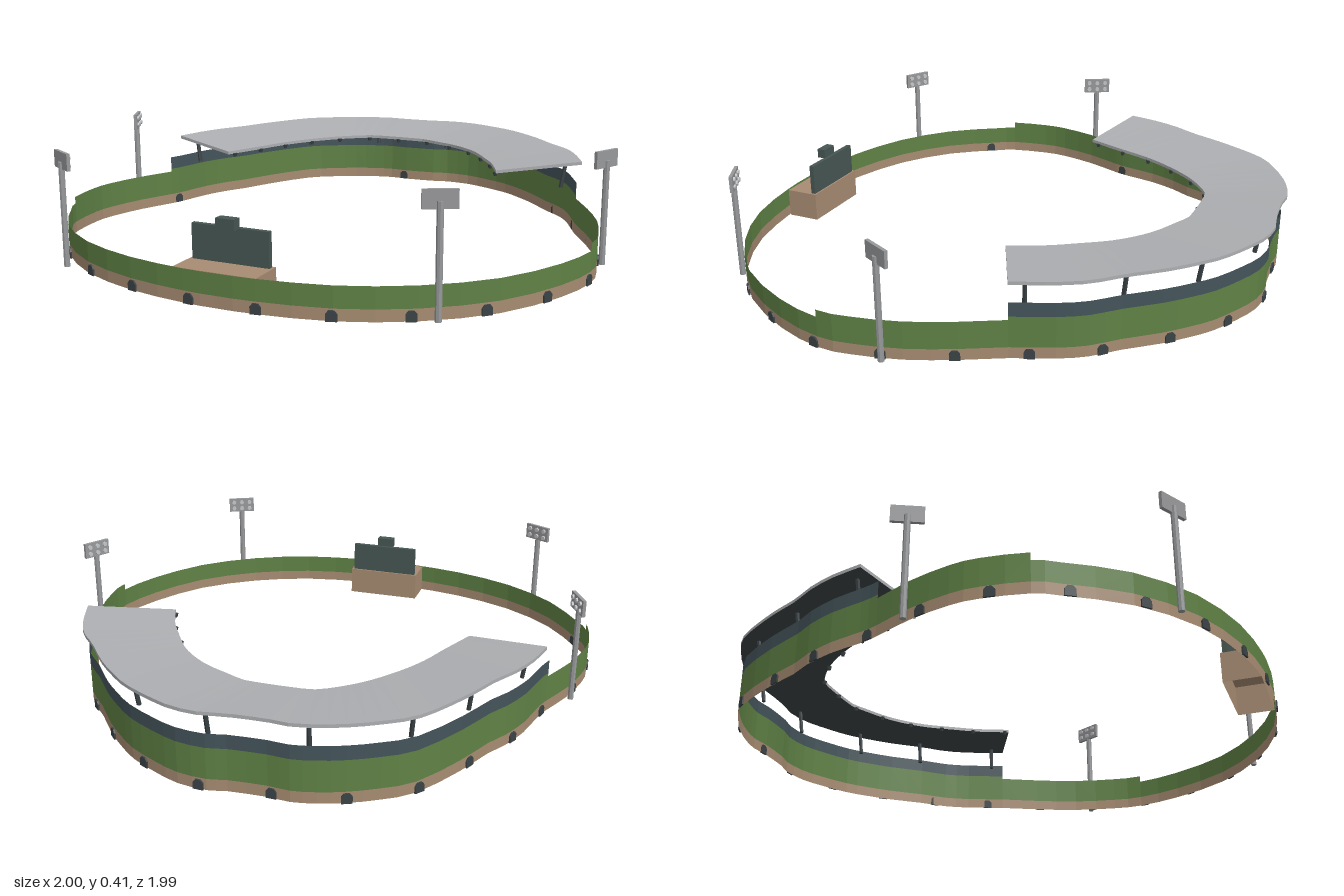
import * as THREE from 'three';

const mat = (name, color, double) => {
  const m = new THREE.MeshStandardMaterial({ color, flatShading: true });
  m.name = name;
  if (double) m.side = THREE.DoubleSide;
  return m;
};

// Wall plan as x, z pairs: front, left side, back, right side
const PLAN = [
  [-.02, .99], [.12, .985], [.36, .945], [.59, .84], [.79, .67], [.92, .45], [.975, .27],
  [.97, .15], [.93, -.02], [.86, -.18], [.785, -.32], [.725, -.46], [.67, -.55], [.59, -.63],
  [.5, -.735], [.42, -.81], [.345, -.87], [.24, -.925], [.14, -.965], [.035, -.975], [-.03, -.96],
  [-.16, -.952], [-.235, -.957], [-.315, -.94], [-.4, -.908], [-.495, -.855], [-.59, -.78],
  [-.69, -.61], [-.755, -.465], [-.8, -.39], [-.845, -.28], [-.873, -.16], [-.895, -.09],
  [-.955, .05], [-.995, .2], [-1, .3], [-.975, .45], [-.93, .53], [-.8, .71], [-.6, .86],
  [-.36, .95], [-.14, .985]
];
// Inner edge of the roof, from the left end to the right end
const INNER = [
  [.507, -.184], [.454, -.3], [.39, -.4], [.31, -.51], [.2, -.6], [.07, -.66], [.02, -.68],
  [-.155, -.68], [-.235, -.665], [-.347, -.575], [-.438, -.456], [-.5, -.344], [-.545, -.227], [-.605, -.08]
];
const N = PLAN.length;
const LOW_END = 6, STAND_START = 10, STAND_END = 32, LOW_START = 36;

const toCurve = (pts, closed) =>
  new THREE.CatmullRomCurve3(pts.map(([x, z]) => new THREE.Vector3(x, 0, z)), closed, 'catmullrom', 0.5);

// Ribbon of flat quads between two rows of points
function ribbon(a, b) {
  const pos = [];
  for (let i = 0; i < a.length - 1; i++)
    for (const p of [a[i], a[i + 1], b[i + 1], a[i], b[i + 1], b[i]]) pos.push(p.x, p.y, p.z);
  const g = new THREE.BufferGeometry();
  g.setAttribute('position', new THREE.Float32BufferAttribute(pos, 3));
  g.computeVertexNormals();
  return g;
}
const atY = (row, y) => row.map(p => new THREE.Vector3(p.x, y, p.z));

export function createModel() {
  const root = new THREE.Group();
  root.name = 'stadium';
  const green = mat('wall green', 0x5f8145, true);
  const brown = mat('earth brown', 0xa78c72, true);
  const slate = mat('slate', 0x44545a, true);
  const board = mat('board dark green', 0x465652);
  const roofGrey = mat('roof grey', 0xadafb2, true);
  const under = mat('roof underside', 0x3c4446, true);
  const steel = mat('steel grey', 0x98999b);
  const lampGrey = mat('lamp grey', 0xc4c6c8);
  const dark = mat('dark metal', 0x3b4346, true);

  const add = (parent, name, geo, material, x = 0, y = 0, z = 0) => {
    const m = new THREE.Mesh(geo, material);
    m.name = name;
    m.position.set(x, y, z);
    parent.add(m);
    return m;
  };
  const group = name => {
    const g = new THREE.Group();
    g.name = name;
    root.add(g);
    return g;
  };

  // Perimeter wall, stepped in height
  const plan = toCurve(PLAN, true);
  const section = (i0, i1) => {
    const row = [];
    for (let i = i0 * 2; i <= i1 * 2; i++) row.push(plan.getPoint(((i / 2 / N) + 1) % 1));
    return row;
  };
  const wall = group('perimeterWall');
  const band = (name, i0, i1, y0, y1, material) => {
    const row = section(i0, i1);
    add(wall, name, ribbon(atY(row, y0), atY(row, y1)), material);
  };
  band('wallBase', 0, N, 0, .04, brown);
  band('outfieldWall', LOW_START - N, LOW_END, .04, .112, green);
  band('leftWall', LOW_END, STAND_START, .04, .138, green);
  band('rightWall', STAND_END, LOW_START, .04, .138, green);
  band('standWall', STAND_START, STAND_END, .04, .15, green);
  band('upperBand', STAND_START, STAND_END, .15, .2, slate);

  // Small gates around the outside of the base
  const gates = group('gates');
  const gateShape = new THREE.Shape();
  gateShape.moveTo(-.018, 0);
  for (const [x, y] of [[.018, 0], [.018, .024], [.009, .035], [-.009, .035], [-.018, .024]]) gateShape.lineTo(x, y);
  const gateGeo = new THREE.ExtrudeGeometry(gateShape, { depth: .006, bevelEnabled: false });
  const GATES = 26, length = plan.getLength();
  for (let i = 0; i < GATES; i++) {
    const u = (.14 / length + i / GATES) % 1;
    const p = plan.getPointAt(u), t = plan.getTangentAt(u);
    const gate = add(gates, 'gate', gateGeo, dark, p.x, 0, p.z);
    gate.rotation.y = Math.atan2(-t.z, t.x);
  }

  // Curved roof over the stand
  const roof = group('roof');
  const STEPS = 42;
  const outerPts = PLAN.slice(STAND_START, STAND_END).map(([x, z]) => {
    const k = 1 + .017 / Math.hypot(x, z);
    return [x * k, z * k];
  });
  const outer = toCurve(outerPts).getSpacedPoints(STEPS);
  const innerCurve = toCurve(INNER);
  const inner = innerCurve.getSpacedPoints(STEPS);
  const outTop = atY(outer, .282), inTop = atY(inner, .25);
  const outLow = atY(outer, .27), inLow = atY(inner, .238);
  add(roof, 'roofTop', ribbon(outTop, inTop), roofGrey);
  add(roof, 'roofUnderside', ribbon(inLow, outLow), under);
  add(roof, 'outerFascia', ribbon(outLow, outTop), roofGrey);
  add(roof, 'innerFascia', ribbon(inTop, inLow), roofGrey);
  for (const i of [0, STEPS])
    add(roof, 'endFascia', ribbon([outTop[i], inTop[i]], [outLow[i], inLow[i]]), roofGrey);

  // Slanted posts under the roof
  const up = new THREE.Vector3(0, 1, 0);
  for (let i = 0; i < 8; i++) {
    const k = Math.round(1 + i * (STEPS - 2) / 7);
    const top = outLow[k].clone().lerp(inLow[k], .16);
    const foot = outLow[k].clone().lerp(inLow[k], .21).setY(.17);
    const d = top.clone().sub(foot);
    const post = add(roof, 'roofPost', new THREE.CylinderGeometry(.008, .008, d.length(), 6), dark);
    post.position.copy(top).add(foot).multiplyScalar(.5);
    post.quaternion.setFromUnitVectors(up, d.normalize());
  }

  // Lamps hanging from the inner roof edge
  const hangGeo = new THREE.CylinderGeometry(.01, .006, .014, 6);
  for (let i = 0; i < 13; i++) {
    const p = innerCurve.getPointAt(.01 + i * .97 / 12);
    add(roof, 'edgeLamp', hangGeo, dark, p.x, .233, p.z);
  }

  // Floodlight masts turned to the infield
  const poleGeo = new THREE.CylinderGeometry(.011, .011, .37, 8);
  const panelGeo = new THREE.BoxGeometry(.11, .06, .012);
  const lampGeo = new THREE.CylinderGeometry(.009, .009, .008, 8).rotateX(Math.PI / 2);
  for (const [x, z] of [[-.97, .04], [.965, .04], [-.715, .83], [.645, .82]]) {
    const mast = group('floodlightMast');
    mast.position.set(x, 0, z);
    mast.rotation.y = Math.atan2(-x, -.45 - z);
    add(mast, 'pole', poleGeo, steel, 0, .185, 0);
    add(mast, 'lampPanel', panelGeo, steel, 0, .375, .004);
    for (const lx of [-.035, 0, .035])
      for (const ly of [.361, .389]) add(mast, 'lamp', lampGeo, lampGrey, lx, ly, .013);
  }

  // Scoreboard on its open-bottomed plinth
  const score = group('scoreboard');
  const plinth = new THREE.BoxGeometry(.3, .11, .13);
  plinth.setIndex([...plinth.index.array].filter((_, i) => i < 18 || i >= 24));
  plinth.clearGroups();
  add(score, 'plinth', plinth, brown, -.032, .055, .915);
  add(score, 'boardPanel', new THREE.BoxGeometry(.28, .118, .018), board, -.032, .169, .866);
  add(score, 'boardCabinet', new THREE.BoxGeometry(.068, .036, .034), board, -.032, .244, .887);

  return root;
}
